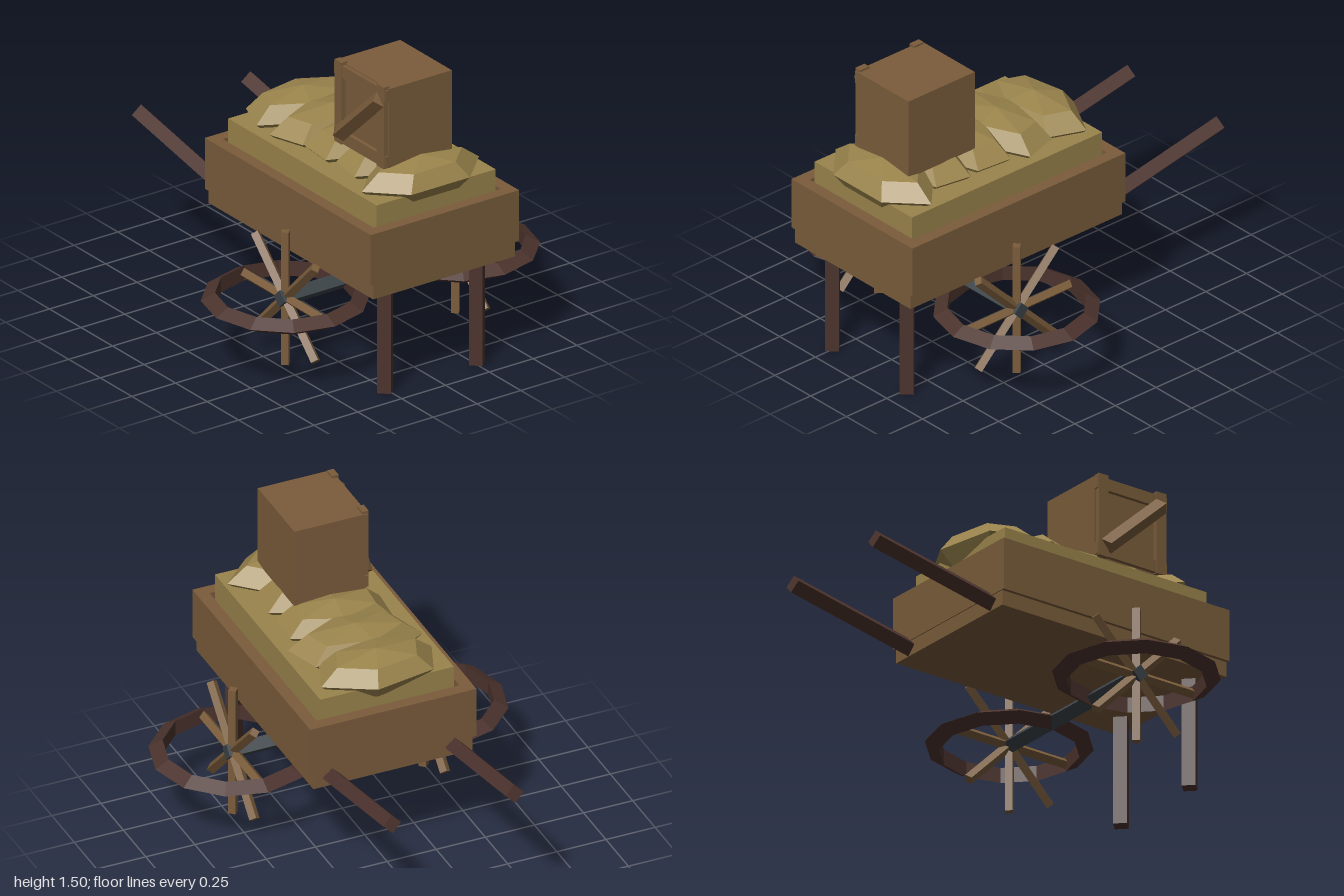
import * as THREE from 'three';

const flat = (name, color) => {
  const m = new THREE.MeshStandardMaterial({ color });
  m.name = name;
  m.flatShading = true;
  return m;
};

export function createModel() {
  const cart = new THREE.Group();
  cart.name = 'handCart';
  const wood = flat('wood', 0x7a5c3b);
  const darkWood = flat('darkWood', 0x4c332d);
  const straw = flat('straw', 0x9a844c);
  const iron = flat('iron', 0x3a4247);

  const add = (name, geometry, material, parent = cart) => {
    const mesh = new THREE.Mesh(geometry, material);
    mesh.name = name;
    parent.add(mesh);
    return mesh;
  };
  // Box given by its lower and upper corners
  const box = (name, a, b, material, parent) => {
    const mesh = add(name, new THREE.BoxGeometry(b[0] - a[0], b[1] - a[1], b[2] - a[2]), material, parent);
    mesh.position.set((a[0] + b[0]) / 2, (a[1] + b[1]) / 2, (a[2] + b[2]) / 2);
    return mesh;
  };
  // Four-sided bar with its edges on the axes, running from a to b
  const bar = (name, a, b, radius, material, parent) => {
    const p = new THREE.Vector3(...a), q = new THREE.Vector3(...b);
    const d = q.clone().sub(p);
    const mesh = add(name, new THREE.CylinderGeometry(radius, radius, d.length(), 4), material, parent);
    mesh.position.copy(p).add(q).multiplyScalar(0.5);
    mesh.quaternion.setFromUnitVectors(new THREE.Vector3(0, 1, 0), d.normalize());
    return mesh;
  };

  // Tray: floor and four walls
  box('floor', [-0.315, 0.545, -0.405], [0.99, 0.62, 0.405], wood);
  for (const s of [-1, 1]) {
    const wall = box('sideWall', [-0.32, 0.62, -0.03], [0.995, 0.88, 0.03], wood);
    wall.position.z = s * 0.393;
  }
  box('rearWall', [-0.32, 0.62, -0.363], [-0.26, 0.88, 0.363], wood);
  box('frontWall', [0.935, 0.62, -0.363], [0.995, 0.88, 0.363], wood);

  // Load: straw bed with a row of lumpy sacks [x, half depth, turn in degrees]
  box('strawBed', [-0.25, 0.62, -0.34], [0.925, 0.983, 0.34], straw);
  const sacks = [[-0.13, 0.32, 13], [0.105, 0.335, -10], [0.335, 0.3, 3], [0.57, 0.29, 6], [0.8, 0.335, 30]];
  for (const [x, depth, turn] of sacks) {
    const g = new THREE.SphereGeometry(1, 6, 4);
    g.rotateY(-THREE.MathUtils.degToRad(turn));
    g.scale(0.187, 0.105, depth);
    add('sack', g, straw).position.set(x, 1.003, 0);
  }

  // Crate with a framed front and a diagonal brace
  const crate = new THREE.Group();
  crate.name = 'crate';
  cart.add(crate);
  box('crateBody', [0.393, 1.075, -0.178], [0.803, 1.487, 0.18], wood, crate);
  for (const x of [0.402, 0.738]) {
    box('cratePost', [x, 1.08, 0.17], [x + 0.056, 1.497, 0.204], wood, crate);
  }
  for (const y of [1.085, 1.422]) {
    box('crateRail', [0.395, y, 0.165], [0.801, y + 0.06, 0.2], wood, crate);
  }
  bar('crateBrace', [0.444, 1.133, 0.203], [0.765, 1.428, 0.203], 0.041, wood, crate);

  // Handles and legs
  for (const s of [-1, 1]) {
    bar('handle', [-0.99, 0.725, s * 0.312], [-0.3, 0.59, s * 0.312], 0.046, darkWood);
    bar('leg', [0.885, 0, s * 0.262], [0.885, 0.545, s * 0.262], 0.046, darkWood);
  }

  // Axle and wheels: upright spokes with a level rim
  const ax = 0.405, ay = 0.357;
  bar('axle', [ax, ay, -0.52], [ax, ay, 0.52], 0.043, iron);
  for (const s of [-1, 1]) {
    const wheel = new THREE.Group();
    wheel.name = s > 0 ? 'frontWheel' : 'backWheel';
    wheel.position.set(ax, ay, s * 0.485);
    cart.add(wheel);
    const rim = add('rim', new THREE.TorusGeometry(0.35, 0.0445, 3, 12), darkWood, wheel);
    rim.rotation.x = Math.PI / 2;
    for (let i = 0; i < 4; i++) {
      const spoke = add('spokePair', new THREE.CylinderGeometry(0.026, 0.026, 0.676, 4), wood, wheel);
      spoke.rotation.z = (i * Math.PI) / 4;
    }
  }
  return cart;
}
